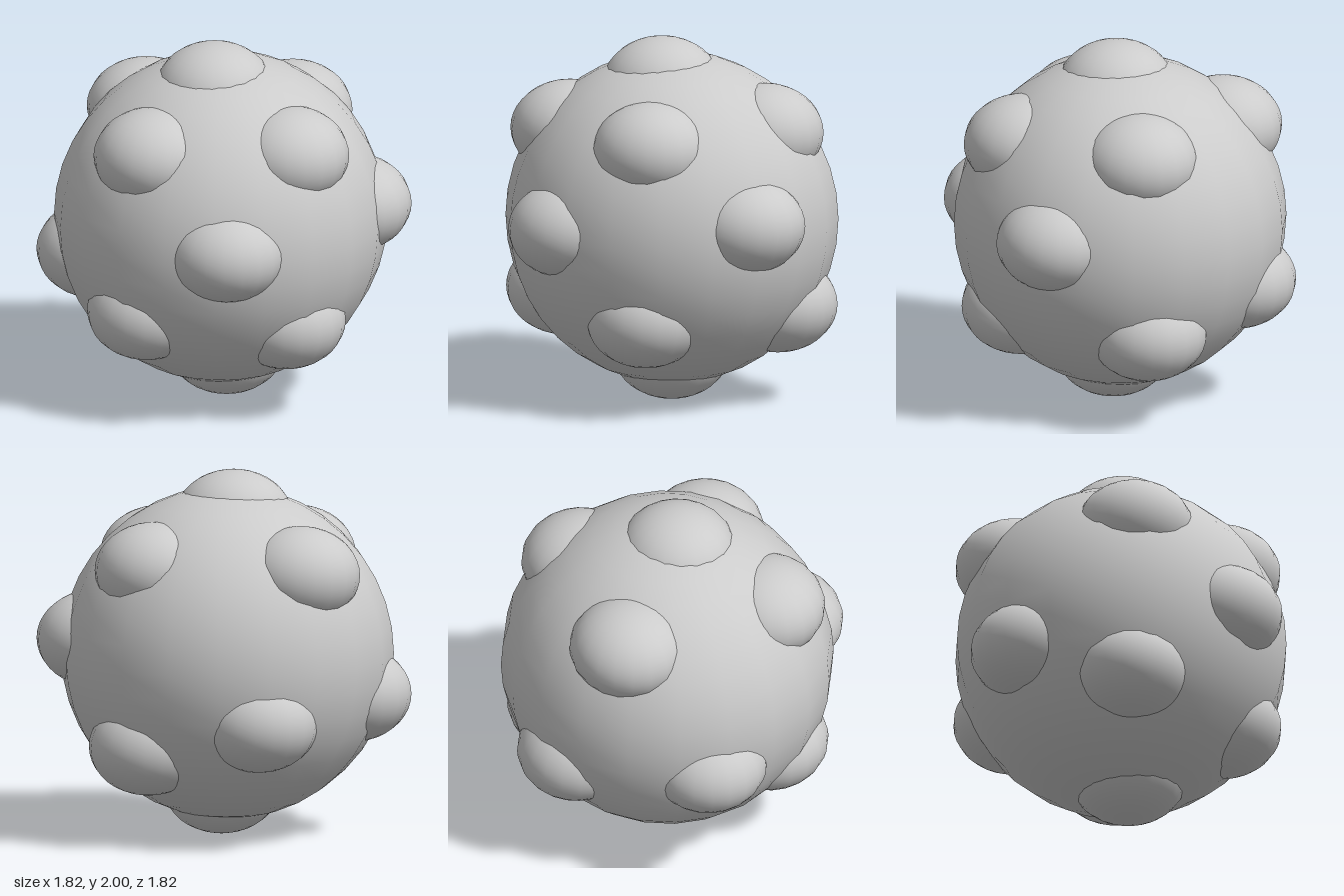
import * as THREE from 'three';

const CENTER_Y = 1;
const BODY_RADIUS = 0.91;
// Studs are slightly squashed vertically and all stay upright
const STUD_RADIUS = 0.325;
const STUD_HALF_HEIGHT = 0.265;

// Stud centres relative to the middle of the body
const STUDS = {
  topStud: [0, 0.735, 0.055],
  bottomStud: [0.04, -0.735, 0],
  upperFrontStud: [-0.03, 0.48, 0.56],
  upperBackStud: [0.1, 0.5, -0.51],
  upperLeftStud: [0.54, 0.48, 0.08],
  upperRightStud: [-0.575, 0.49, -0.075],
  middleFrontLeftStud: [0.465, 0.02, 0.54],
  middleBackLeftStud: [0.565, 0.075, -0.44],
  middleFrontRightStud: [-0.575, -0.215, 0.37],
  middleBackRightStud: [-0.53, -0.3, -0.38],
  lowerFrontStud: [-0.055, -0.405, 0.585],
  lowerLeftStud: [0.54, -0.46, 0.11],
  lowerBackStud: [0.08, -0.46, -0.585],
};

export function createModel() {
  const group = new THREE.Group();
  group.name = 'studdedBall';
  const material = new THREE.MeshStandardMaterial({ color: 0xcccccc });

  // Large round body
  const body = new THREE.Mesh(new THREE.SphereGeometry(BODY_RADIUS, 20, 20), material);
  body.name = 'body';
  body.position.y = CENTER_Y;
  group.add(body);

  // Rounded studs half sunk into the body
  const studGeometry = new THREE.SphereGeometry(STUD_RADIUS, 20, 20);
  studGeometry.scale(1, STUD_HALF_HEIGHT / STUD_RADIUS, 1);
  for (const [name, [x, y, z]] of Object.entries(STUDS)) {
    const stud = new THREE.Mesh(studGeometry, material);
    stud.name = name;
    stud.position.set(x, CENTER_Y + y, z);
    group.add(stud);
  }
  return group;
}
